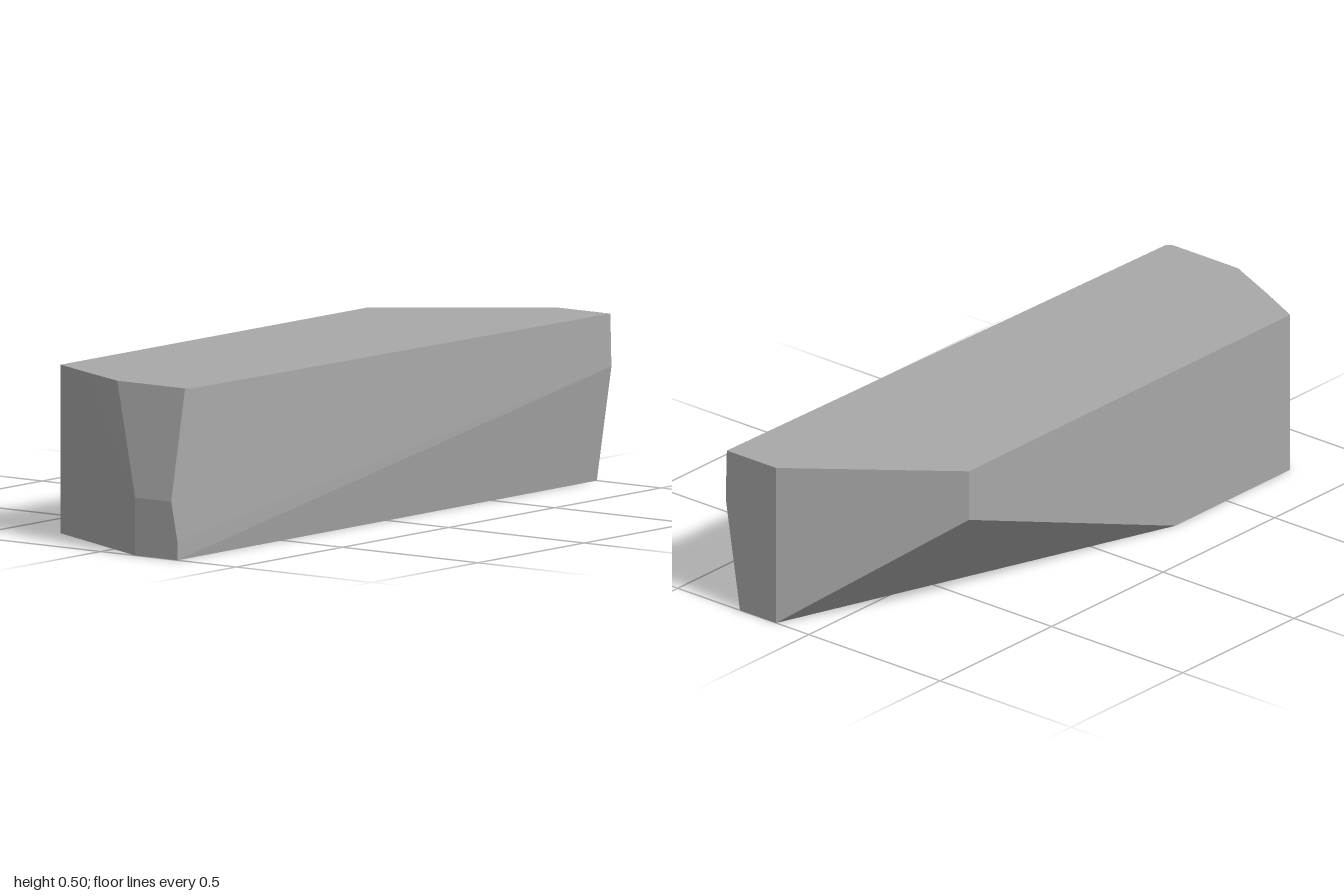
import * as THREE from 'three';
import { ConvexGeometry } from 'three/addons/geometries/ConvexGeometry.js';

export function createModel() {
  const model = new THREE.Group();
  model.name = 'facetedBlock';
  const stone = new THREE.MeshStandardMaterial({ color: 0xa8a8a8 });
  stone.name = 'stone grey';

  const top = 0.495, left = -0.317, ledge = 0.34;
  const corners = [
    // top outline
    [left, top, 0.785], [-0.16, top, 0.859], [0.01, top, 0.935], [0.26, top, 0.935], [0.275, top, 0.922],
    [0.313, top, -1], [0.125, top, -1], [left, top, -0.655],
    // front face and its chamfered corner
    [0.127, 0.17, 1], [0.26, 0.17, 1], [0.283, 0.055, 1],
    // ledge where the undercut begins
    [0.317, ledge, -1], [0.313, ledge, -0.8], [left, ledge, -0.655],
    // bottom outline
    [left, 0, 0.785], [0.127, 0, 1], [0.283, 0, 1],
    [0.263, 0, -1], [0.125, 0, -1], [left, 0, 0.27],
  ];

  // one closed hull, with a flat normal for each facet
  const body = new THREE.Mesh(
    new ConvexGeometry(corners.map((p) => new THREE.Vector3(...p))),
    stone
  );
  body.name = 'stoneBody';
  model.add(body);
  return model;
}
